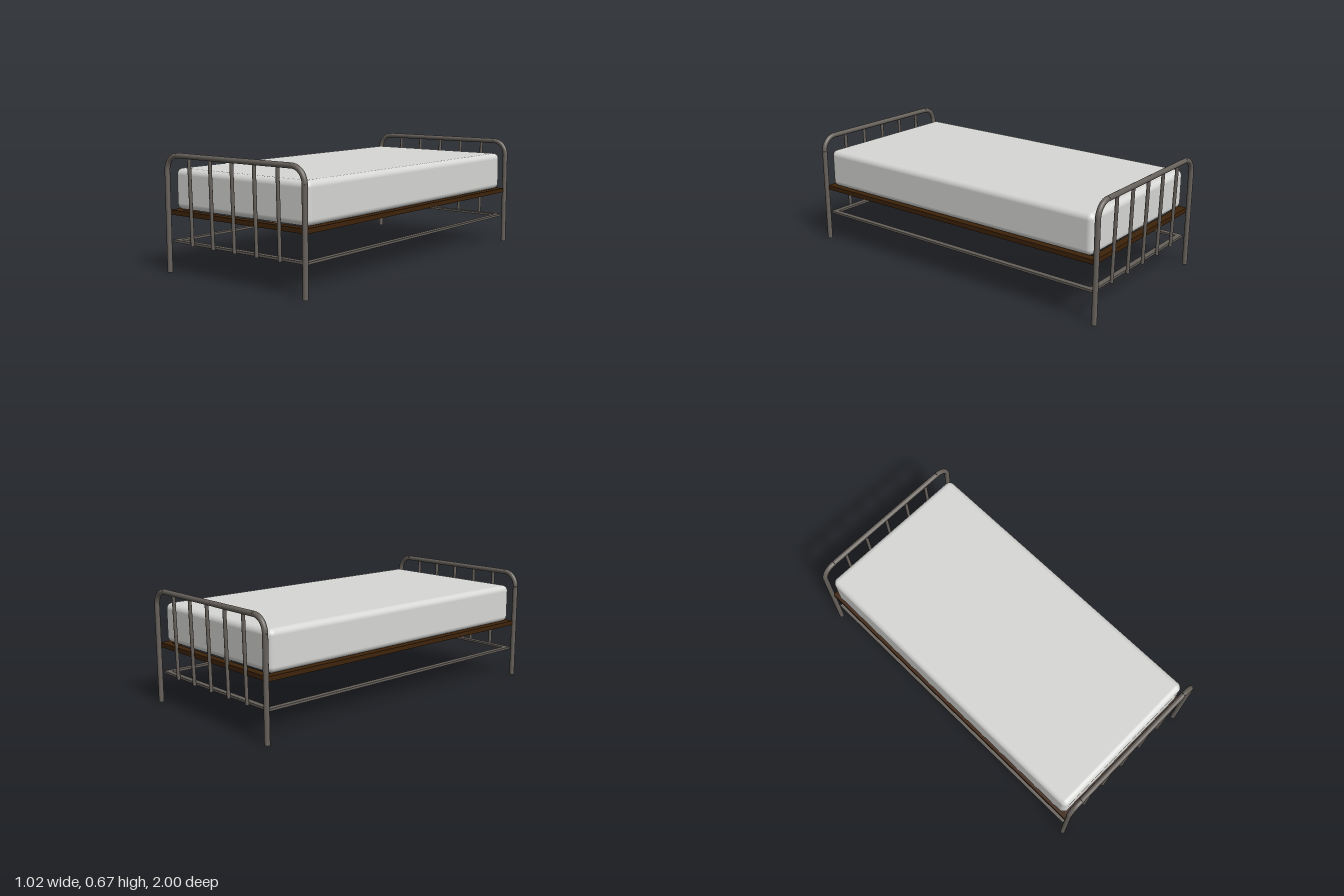
import * as THREE from 'three';
import { RoundedBoxGeometry } from 'three/addons/geometries/RoundedBoxGeometry.js';

const metal = new THREE.MeshStandardMaterial({ color: 0x66605a });
metal.name = 'grey metal';
const wood = new THREE.MeshStandardMaterial({ color: 0x3d220a });
wood.name = 'dark wood';
const fabric = new THREE.MeshStandardMaterial({ color: 0xd6d6d4 });
fabric.name = 'white fabric';

function add(parent, name, geometry, material) {
  const mesh = new THREE.Mesh(geometry, material);
  mesh.name = name;
  parent.add(mesh);
  return mesh;
}

// Flat rectangular ring lying in the xz plane, its underside at y
function ringFrame(halfX, halfZ, width, y, height) {
  const rect = (Type, a, b) => new Type([[-a, -b], [a, -b], [a, b], [-a, b]].map(p => new THREE.Vector2(...p)));
  const shape = rect(THREE.Shape, halfX, halfZ);
  shape.holes.push(rect(THREE.Path, halfX - width, halfZ - width));
  return new THREE.ExtrudeGeometry(shape, { depth: height, bevelEnabled: false })
    .rotateX(-Math.PI / 2).translate(0, y, 0);
}

// Bent tube with two legs and rounded upper corners, plus spindles
function endFrame(name) {
  const group = new THREE.Group();
  group.name = name;
  const X = 0.497, top = 0.653, bend = 0.085, r = 0.015;
  const V = (x, y) => new THREE.Vector3(x, y, 0);

  for (const s of [-1, 1]) {
    const h = top - bend;
    add(group, 'leg', new THREE.CylinderGeometry(r, r, h, 20), metal).position.set(s * X, h / 2, 0);
    const arc = [];
    for (let i = 0; i <= 8; i++) {
      const a = (i / 8) * Math.PI / 2;
      arc.push(V(s * (X - bend + bend * Math.cos(a)), h + bend * Math.sin(a)));
    }
    add(group, 'corner bend', new THREE.TubeGeometry(new THREE.CatmullRomCurve3(arc), 16, r, 20), metal);
  }
  add(group, 'top rail', new THREE.CylinderGeometry(r, r, 2 * (X - bend), 20).rotateZ(Math.PI / 2), metal)
    .position.y = top;

  // Spindles lean slightly inward towards the foot
  for (let i = -2; i <= 2; i++) {
    const path = new THREE.LineCurve3(new THREE.Vector3(i * 0.16, 0.165, -0.011), V(i * 0.16, 0.65));
    add(group, 'spindle', new THREE.TubeGeometry(path, 1, 0.01, 14), metal);
    add(group, 'spindle cap', new THREE.CircleGeometry(0.01, 14).rotateX(Math.PI / 2), metal)
      .position.set(i * 0.16, 0.165, -0.011);
  }
  return group;
}

export function createModel() {
  const bed = new THREE.Group();
  bed.name = 'bed';

  const foot = endFrame('footboard');
  foot.position.z = 0.985;
  const head = endFrame('headboard');
  head.position.z = -0.985;
  head.rotation.y = Math.PI;
  bed.add(foot, head);

  add(bed, 'bed frame', ringFrame(0.495, 0.975, 0.045, 0.323, 0.026), wood);
  add(bed, 'lower brace', ringFrame(0.49, 0.965, 0.032, 0.168, 0.013), metal);
  add(bed, 'mattress', new RoundedBoxGeometry(0.966, 0.228, 1.894, 5, 0.035), fabric).position.y = 0.464;

  return bed;
}
